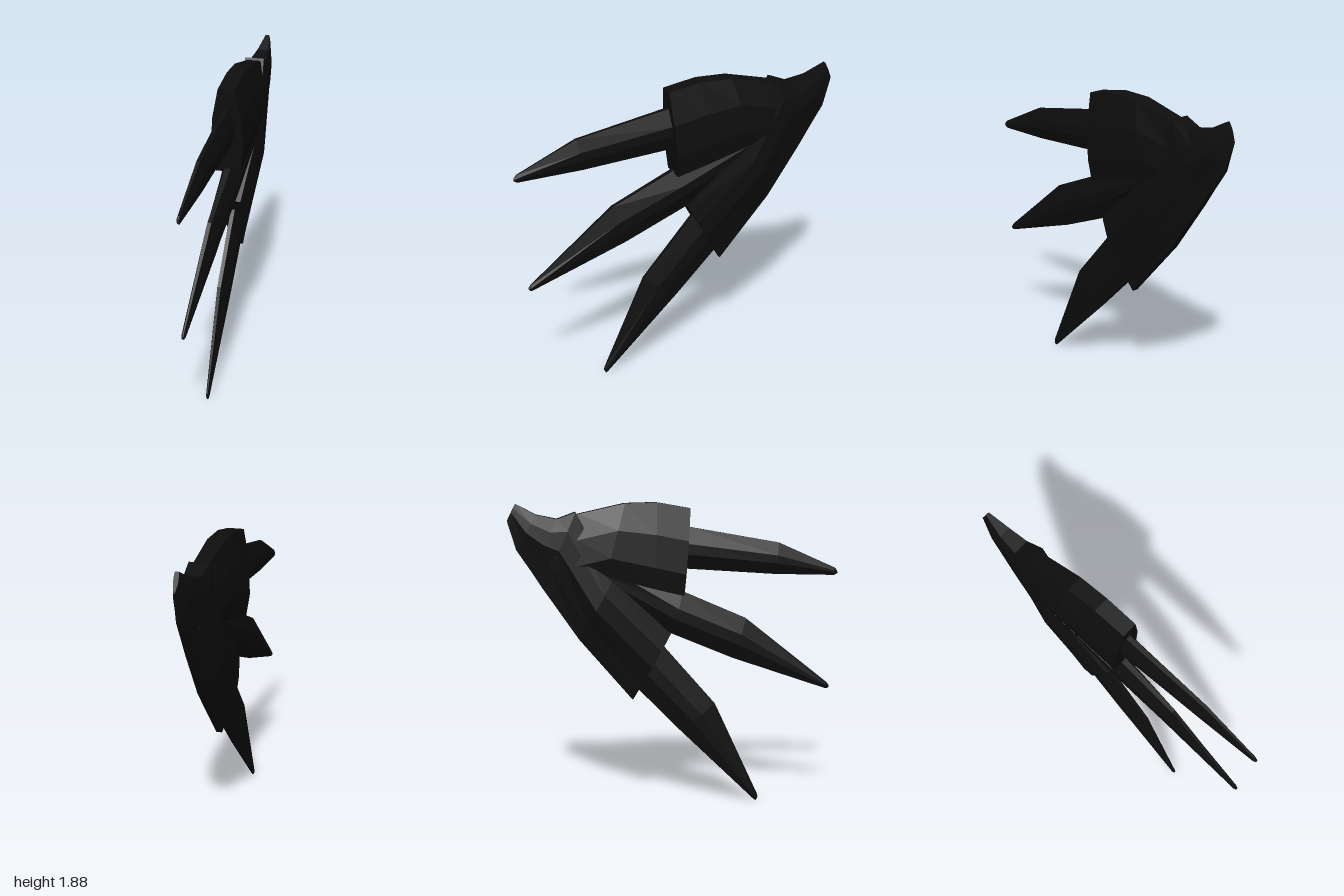
import * as THREE from 'three';

// Lofts symmetric rings from front to back.
// Each section is [topZ, topY, bottomZ, bottomY, halfWidth];
// profile lists [fraction from top to bottom, width factor].
function loft(sections, profile) {
  const ring = [...profile, ...profile.map(([t, w]) => [t, -w]).reverse()];
  const n = ring.length;
  const pos = [];
  const index = [];
  for (const [tz, ty, bz, by, hw] of sections) {
    for (const [t, w] of ring) pos.push(hw * w, ty + (by - ty) * t, tz + (bz - tz) * t);
  }
  for (let s = 0; s < sections.length - 1; s++) {
    for (let i = 0; i < n; i++) {
      const j = (i + 1) % n;
      const a = s * n + i, b = s * n + j, c = b + n, d = a + n;
      index.push(a, b, c, a, c, d);
    }
  }
  // end caps
  const last = (sections.length - 1) * n;
  for (let i = 1; i < n - 1; i++) {
    index.push(0, i + 1, i, last, last + i, last + i + 1);
  }
  const g = new THREE.BufferGeometry();
  g.setAttribute('position', new THREE.Float32BufferAttribute(pos, 3));
  g.setIndex(index);
  const flat = g.toNonIndexed();
  flat.computeVertexNormals();
  return flat;
}

export function createModel() {
  const group = new THREE.Group();
  const black = new THREE.MeshStandardMaterial({ color: 0x0e0e0e, flatShading: true });
  black.name = 'black';

  const add = (name, sections, profile) => {
    const mesh = new THREE.Mesh(loft(sections, profile), black);
    mesh.name = name;
    group.add(mesh);
  };

  // Two sheaths that merge into the pointed back end
  add('upperSheath', [
    [0.08, 1.84, 0.04, 1.32, 0.095],
    [-0.12, 1.875, -0.14, 1.365, 0.097],
    [-0.31, 1.87, -0.43, 1.445, 0.1],
    [-0.58, 1.81, -0.62, 1.4, 0.083],
    [-0.71, 1.78, -0.76, 1.5, 0.06],
  ], [[0, 0.5], [0.37, 0.92], [0.75, 1], [1, 0.8]]);

  add('lowerSheath', [
    [-0.04, 1.09, -0.27, 0.68, 0.073],
    [-0.39, 1.42, -0.59, 1.06, 0.097],
    [-0.6, 1.82, -0.8, 1.37, 0.075],
    [-0.71, 1.78, -0.87, 1.48, 0.062],
    [-0.83, 1.805, -0.95, 1.6, 0.045],
    [-0.95, 1.87, -1, 1.77, 0.014],
  ], [[0, 0.8], [0.25, 1], [0.5, 1], [0.75, 0.6], [1, 0.25]]);

  // Three tapering claws, tip first
  const claw = [[0, 0.3], [0.4, 1], [0.65, 1], [1, 0.3]];
  add('upperClaw', [
    [0.995, 1.46, 1, 1.44, 0.007],
    [0.98, 1.475, 0.98, 1.428, 0.012],
    [0.63, 1.63, 0.6, 1.44, 0.033],
    [0.07, 1.73, 0.05, 1.48, 0.05],
    [-0.2, 1.76, -0.2, 1.5, 0.04],
  ], claw);
  add('middleClaw', [
    [0.965, 0.735, 0.96, 0.72, 0.007],
    [0.95, 0.755, 0.945, 0.715, 0.012],
    [0.43, 1.17, 0.35, 0.925, 0.04],
    [0.04, 1.34, -0.04, 1.09, 0.058],
    [-0.4, 1.48, -0.43, 1.38, 0.08],
  ], claw);
  add('lowerClaw', [
    [0.52, 0.025, 0.508, 0, 0.006],
    [0.515, 0.045, 0.495, 0.008, 0.01],
    [0.24, 0.64, 0.02, 0.48, 0.037],
    [-0.08, 1.01, -0.23, 0.74, 0.042],
    [-0.3, 1.22, -0.42, 1.0, 0.035],
  ], claw);

  return group;
}
